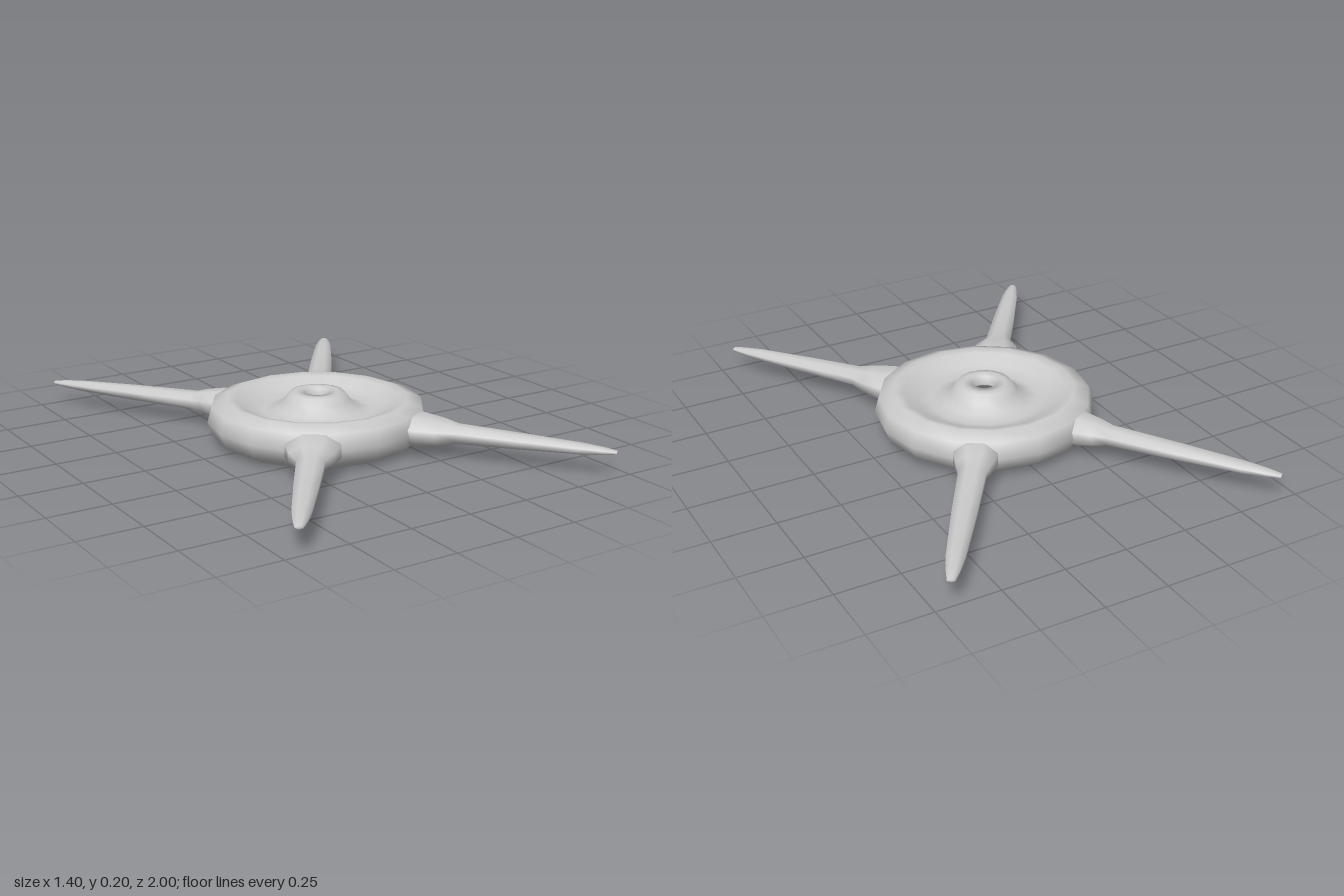
import * as THREE from 'three';

const material = new THREE.MeshStandardMaterial({ color: 0xcccccc, side: THREE.DoubleSide });

// Lofts elliptical rings along +z; each section is [z, halfWidth, halfHeight]
function loft(sections, sides = 8) {
  const pos = [], index = [];
  for (const [z, w, h] of sections) {
    for (let j = 0; j < sides; j++) {
      const a = ((j + 0.5) / sides) * Math.PI * 2;
      const k = 1 / Math.cos(Math.PI / sides); // flats reach the full size
      pos.push(Math.cos(a) * w * k, Math.sin(a) * h * k, z);
    }
  }
  for (let i = 0; i < sections.length - 1; i++) {
    for (let j = 0; j < sides; j++) {
      const n = (j + 1) % sides;
      const a = i * sides + j, b = i * sides + n;
      index.push(a, b, b + sides, a, b + sides, a + sides);
    }
  }
  const g = new THREE.BufferGeometry();
  g.setAttribute('position', new THREE.Float32BufferAttribute(pos, 3));
  g.setIndex(index);
  g.computeVertexNormals();
  return g;
}

// Leg from its root on the rim (x0, z0) to its tip (x1, z1)
function makeLeg(name, x0, z0, x1, z1, rootWidth, neck) {
  const dx = x1 - x0, dz = z1 - z0;
  const length = Math.hypot(dx, dz);
  const leg = new THREE.Mesh(loft([
    [-0.22, 0.001, 0.001],
    [-0.215, 0.018, 0.018],
    [-0.15, 0.035, 0.03],
    [-0.06, rootWidth * 0.9, 0.058],
    [0.0, rootWidth, 0.058],
    [neck * 0.55, rootWidth * 0.8, 0.048],
    [neck, 0.052, 0.035],
    [length * 0.5, 0.045, 0.028],
    [length * 0.82, 0.034, 0.019],
    [length * 0.93, 0.024, 0.013],
    [length, 0.014, 0.006],
    [length, 0.001, 0.001],
  ]), material);
  leg.name = name;
  leg.position.set(x0, 0.093, z0);
  leg.rotation.y = Math.atan2(dx, dz);
  return leg;
}

export function createModel() {
  const model = new THREE.Group();
  model.name = 'fourLeggedDisc';

  // Hollow disc: inner lip, rounded rim, dished top, raised hub with a hole
  const profile = [
    [0.265, 0.08], [0.28, 0.04], [0.315, 0.01], [0.36, 0.0],
    [0.415, 0.035], [0.437, 0.09], [0.42, 0.153], [0.36, 0.175],
    [0.325, 0.168], [0.27, 0.135], [0.215, 0.12], [0.165, 0.133],
    [0.13, 0.165], [0.108, 0.195], [0.085, 0.198], [0.05, 0.195], [0.046, 0.16],
  ].map(([r, y]) => new THREE.Vector2(r, y));
  const disc = new THREE.Mesh(new THREE.LatheGeometry(profile, 16), material);
  disc.name = 'disc';
  disc.position.z = 0.02;
  model.add(disc);

  // Two mirrored pairs of tapering legs
  for (const [side, s] of [['Left', 1], ['Right', -1]]) {
    model.add(makeLeg('front' + side + 'Leg', s * 0.245, 0.375, s * 0.69, 0.99, 0.105, 0.15));
    model.add(makeLeg('back' + side + 'Leg', s * 0.235, -0.335, s * 0.685, -0.99, 0.085, 0.12));
  }
  return model;
}
